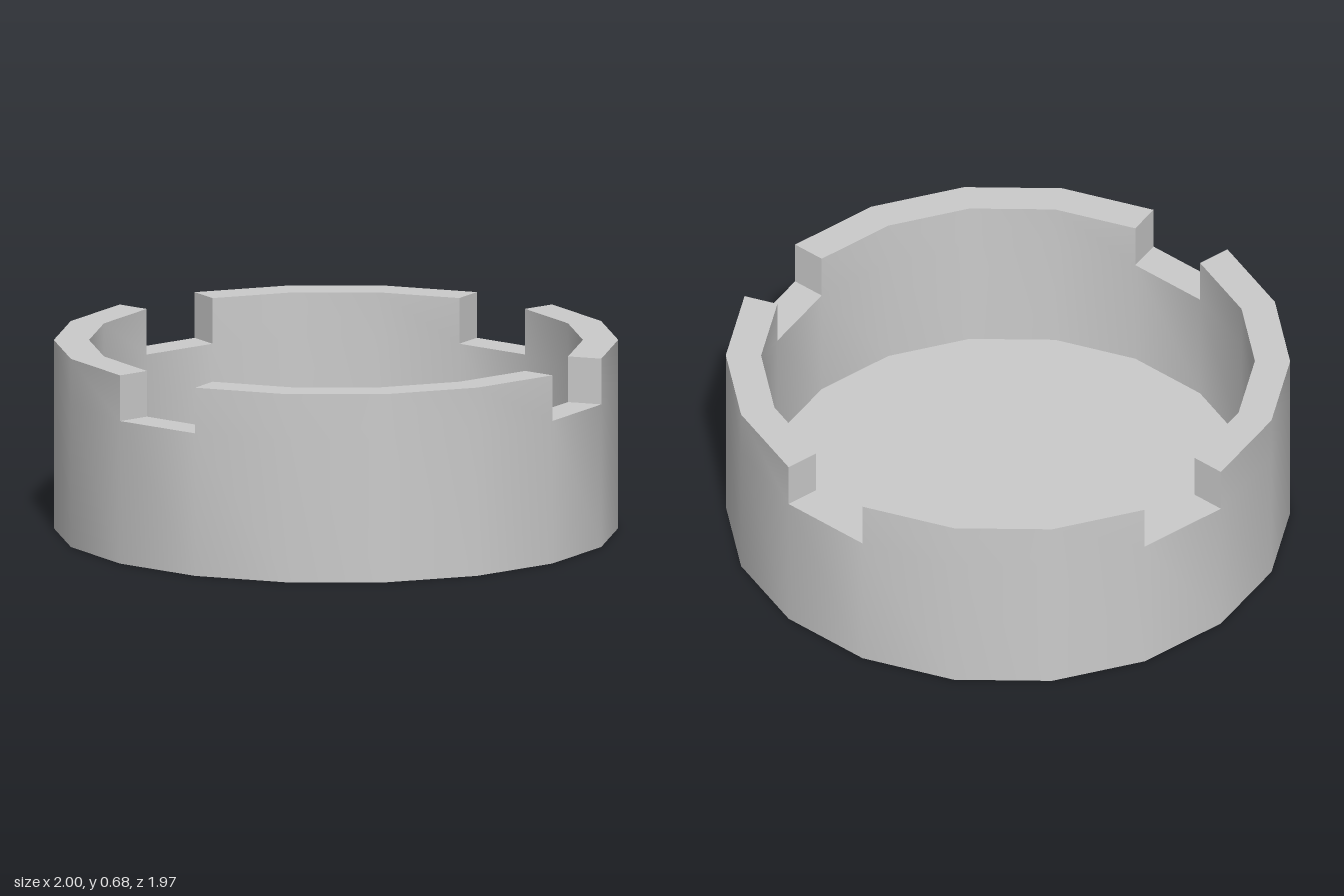
import * as THREE from 'three';
import { toCreasedNormals } from 'three/addons/utils/BufferGeometryUtils.js';

const SIDES = 18, OUTER = 1, INNER = 0.875;
const FLOOR = 0.095, NOTCH = 0.515, RIM = 0.68;
const NOTCHED = [4, 9, 13, 17]; // front, right, back and left facets

const point = (r, i, y) => {
  const a = ((i % SIDES) / SIDES) * Math.PI * 2;
  return [r * Math.cos(a), y, r * Math.sin(a)];
};

// Ring wall: one facet at a time, the rim left out where it is notched
function wallGeometry() {
  const pos = [];
  const quad = (a, b, c, d) => pos.push(...a, ...b, ...c, ...a, ...c, ...d);
  const outside = (i, y0, y1) => quad(
    point(OUTER, i, y0), point(OUTER, i, y1), point(OUTER, i + 1, y1), point(OUTER, i + 1, y0));
  const inside = (i, y0, y1) => quad(
    point(INNER, i + 1, y0), point(INNER, i + 1, y1), point(INNER, i, y1), point(INNER, i, y0));

  for (let i = 0; i < SIDES; i++) {
    const notched = NOTCHED.includes(i);
    const top = notched ? NOTCH : RIM;
    outside(i, 0, NOTCH);
    inside(i, FLOOR, NOTCH);
    quad(point(INNER, i, top), point(INNER, i + 1, top), point(OUTER, i + 1, top), point(OUTER, i, top));
    if (notched) {
      // cheeks at both ends of the notch
      quad(point(INNER, i, NOTCH), point(OUTER, i, NOTCH), point(OUTER, i, RIM), point(INNER, i, RIM));
      quad(point(INNER, i + 1, RIM), point(OUTER, i + 1, RIM), point(OUTER, i + 1, NOTCH), point(INNER, i + 1, NOTCH));
    } else {
      outside(i, NOTCH, RIM);
      inside(i, NOTCH, RIM);
    }
  }
  const geometry = new THREE.BufferGeometry();
  geometry.setAttribute('position', new THREE.Float32BufferAttribute(pos, 3));
  return toCreasedNormals(geometry, Math.PI / 6);
}

export function createModel() {
  const group = new THREE.Group();
  group.name = 'notchedBowl';
  const material = new THREE.MeshStandardMaterial({ color: 0xcccccc });
  const add = (name, geometry) => {
    const mesh = new THREE.Mesh(geometry, material);
    mesh.name = name;
    group.add(mesh);
    return mesh;
  };

  add('wall', wallGeometry());

  // Floor inside the bowl and flat underside
  const floor = add('floor', new THREE.CircleGeometry(INNER, SIDES).rotateX(-Math.PI / 2));
  floor.position.y = FLOOR;
  add('underside', new THREE.CircleGeometry(OUTER, SIDES).rotateX(Math.PI / 2));

  return group;
}
